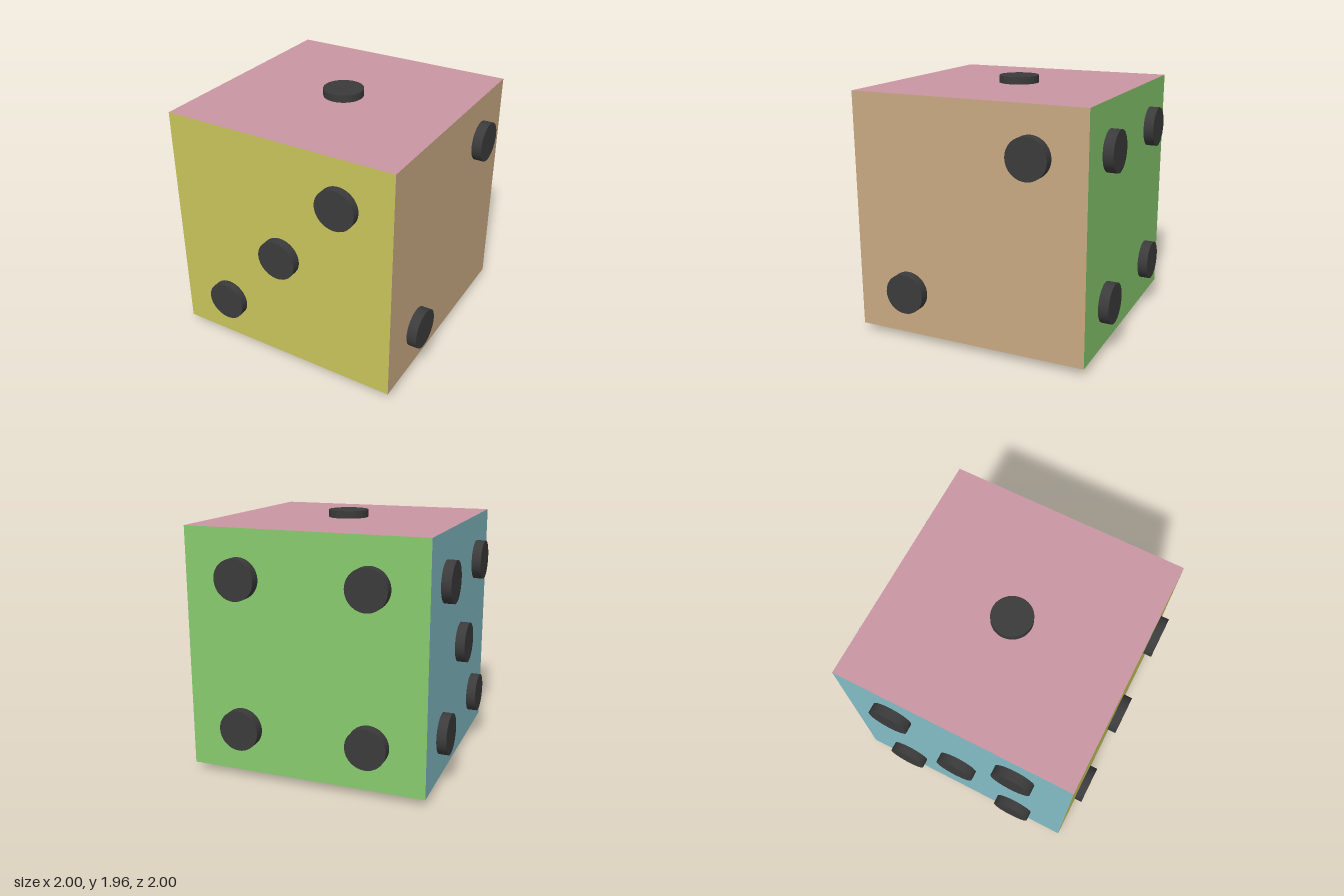
import * as THREE from 'three';

export function createModel() {
  const model = new THREE.Group();
  model.name = 'die';

  const paint = (name, color) => {
    const m = new THREE.MeshStandardMaterial({ color });
    m.name = name;
    return m;
  };
  const tan = paint('tan', 0xc9a982);
  const teal = paint('teal', 0x83bcc6);
  const pink = paint('pink', 0xc996a2);
  const purple = paint('purple', 0xa697c9);
  const yellow = paint('yellow', 0xc9c45c);
  const green = paint('green', 0x89ca6d);
  const charcoal = paint('charcoal', 0x3b3b3b);

  // Cube with one colour per face, in the order +x, -x, +y, -y, +z, -z
  const half = 0.924, cy = 0.979;
  const body = new THREE.Mesh(
    new THREE.BoxGeometry(half * 2, half * 2, half * 2),
    [tan, teal, pink, purple, yellow, green]
  );
  body.name = 'cubeBody';
  body.position.set(-0.002, cy, 0.003);
  model.add(body);

  // Pips: short discs half sunk into the faces, pointing along the face normal
  const sunk = 0.05;
  const up = new THREE.Vector3(0, 1, 0);
  function addPips(name, normal, outer, inner, centres) {
    const n = new THREE.Vector3(...normal);
    const length = outer - inner + sunk;
    const group = new THREE.Group();
    group.name = name;
    for (const c of centres) {
      const pip = new THREE.Mesh(new THREE.CylinderGeometry(0.155, 0.155, length, 48), charcoal);
      pip.name = 'pip';
      pip.quaternion.setFromUnitVectors(up, n);
      pip.position.set(...c).addScaledVector(n, outer - length / 2);
      group.add(pip);
    }
    model.add(group);
  }

  const low = 0.4, mid = 0.97, high = 1.54;
  addPips('topPip', [0, 1, 0], 1.96, 1.903, [[-0.004, 0, 0.003]]);
  addPips('leftPips', [1, 0, 0], 1, 0.92, [[0, low, 0.495], [0, high, -0.503]]);
  addPips('frontPips', [0, 0, 1], 0.99, 0.925, [[-0.495, low, 0], [0.013, mid, 0.007], [0.503, high, 0]]);

  const backPips = [], rightPips = [[0, mid, 0.002]], bottomPips = [];
  for (const y of [low, high]) {
    for (const s of [-0.5, 0.495]) {
      backPips.push([s, y, 0]);
      rightPips.push([0, y, s]);
    }
  }
  for (const x of [-0.583, -0.005, 0.567]) {
    for (const z of [-0.5, 0.495]) bottomPips.push([x, 0, z]);
  }
  addPips('backPips', [0, 0, -1], 1, 0.92, backPips);
  addPips('rightPips', [-1, 0, 0], 1, 0.925, rightPips);
  addPips('bottomPips', [0, -1, 0], 0, -0.055, bottomPips);

  return model;
}
